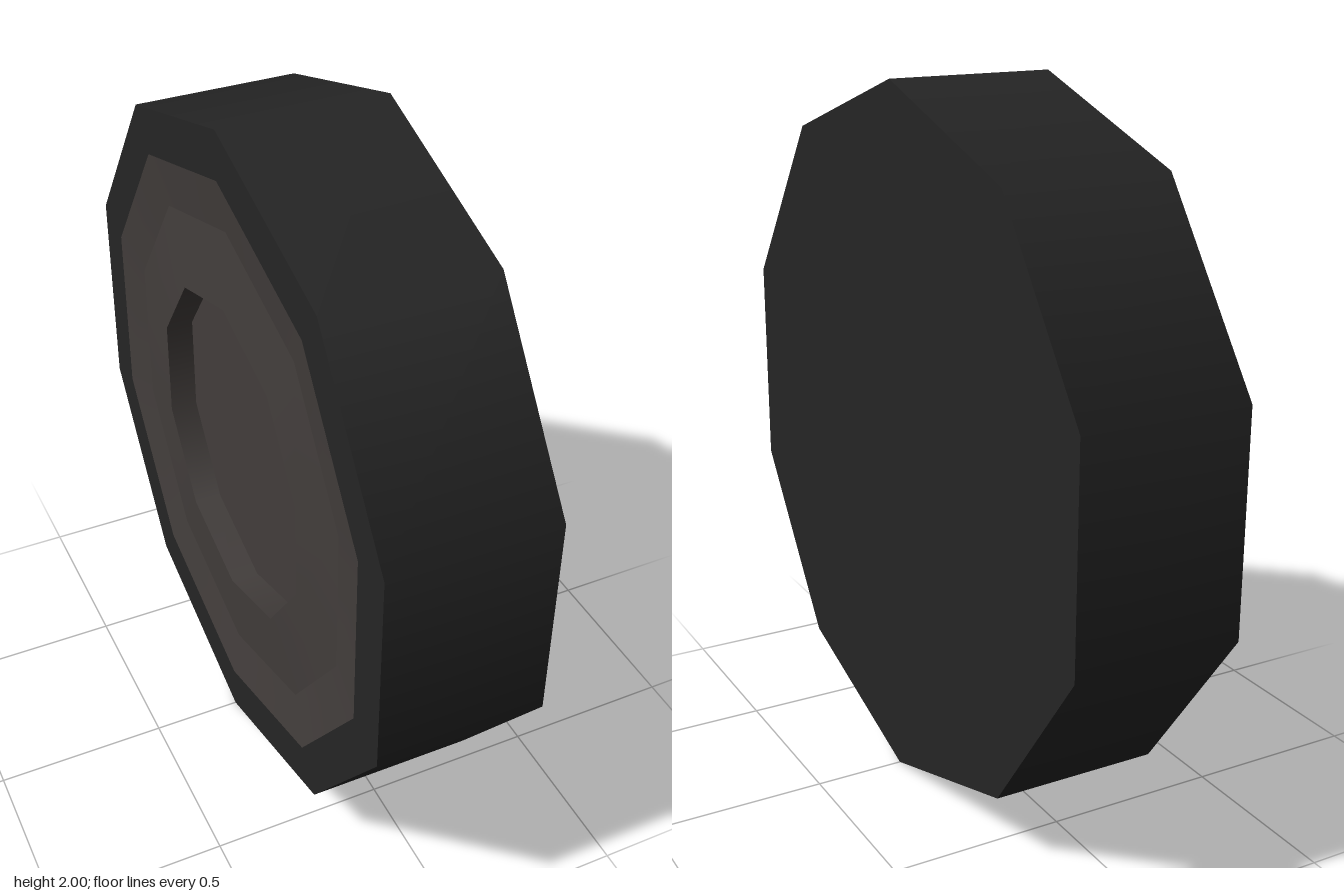
import * as THREE from 'three';
import { mergeGeometries } from 'three/addons/utils/BufferGeometryUtils.js';

const SIDES = 10;

// Turned part about the x axis; each profile segment [radius, offset] keeps a crisp edge.
// Positive offsets lie towards -x.
function turned(name, profile, material) {
  const bands = [];
  for (let i = 0; i < profile.length - 1; i++) {
    const points = [profile[i], profile[i + 1]].map(([r, h]) => new THREE.Vector2(r, h));
    bands.push(new THREE.LatheGeometry(points, SIDES, Math.PI / 2));
  }
  const geometry = mergeGeometries(bands);
  geometry.rotateZ(Math.PI / 2);
  const mesh = new THREE.Mesh(geometry, material);
  mesh.name = name;
  mesh.position.y = 1;
  return mesh;
}

export function createModel() {
  const rubber = new THREE.MeshStandardMaterial({ color: 0x252525 });
  rubber.name = 'black rubber';
  const metal = new THREE.MeshStandardMaterial({ color: 0x423d3b });
  metal.name = 'dark brown metal';

  const wheel = new THREE.Group();
  wheel.name = 'wheel';

  // Tyre: plain inner face, tread and outer side ring
  wheel.add(turned('tyre', [[0, -0.24], [1, -0.24], [1, 0.24], [0.86, 0.24]], rubber));

  // Rim: shallow dished ring around the hub recess
  wheel.add(turned('rim', [[0.86, 0.24], [0.71, 0.22], [0.48, 0.235]], metal));

  // Hub: straight recess wall and flat floor
  wheel.add(turned('hubRecess', [[0.48, 0.235], [0.48, 0.155], [0, 0.155]], metal));

  return wheel;
}
